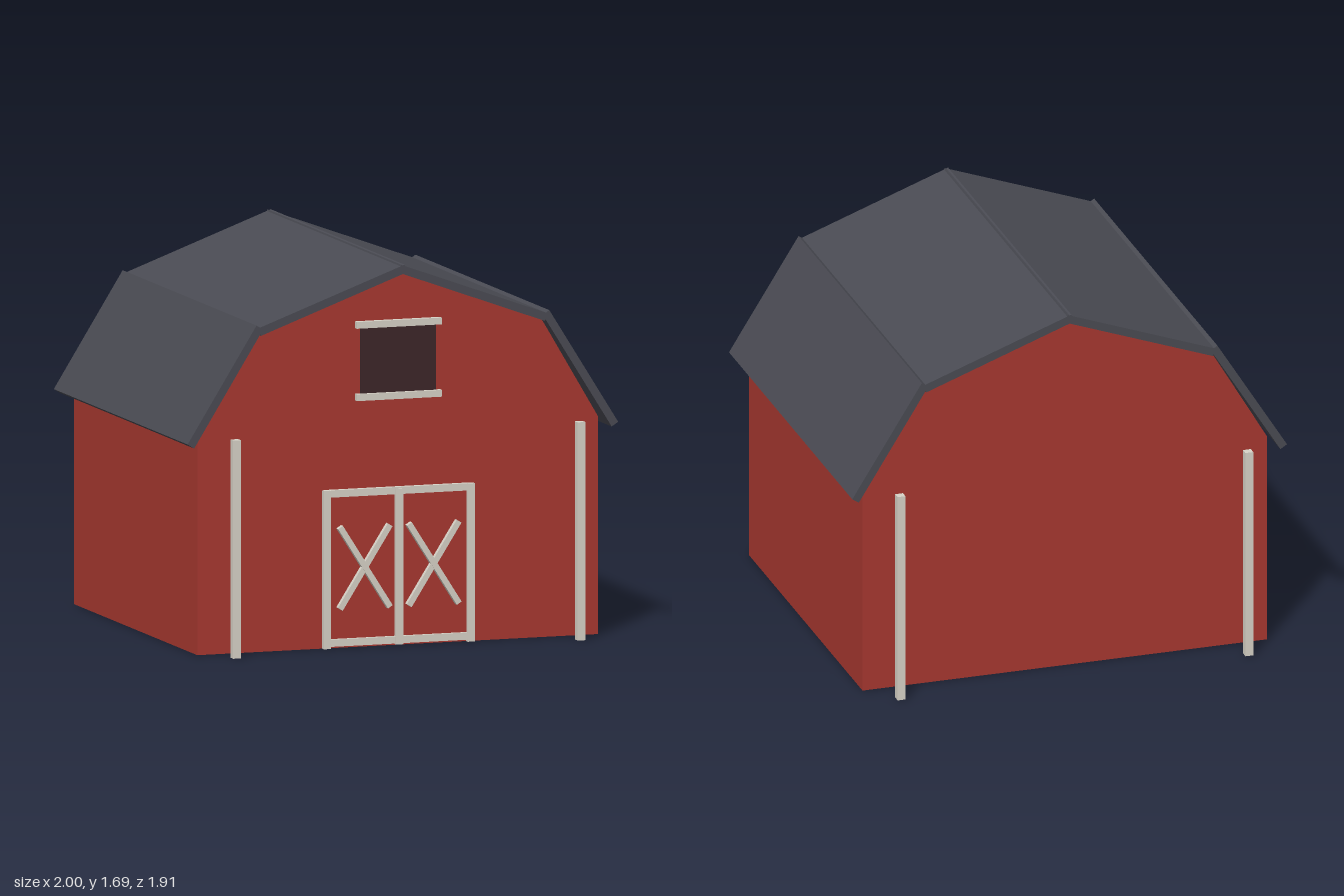
import * as THREE from 'three';

const mat = (name, color) => {
  const m = new THREE.MeshStandardMaterial({ color });
  m.name = name;
  return m;
};

export function createModel() {
  const red = mat('barn red', 0xa83830);
  const slate = mat('roof slate', 0x4a4b53);
  const cream = mat('trim cream', 0xd8d3c8);
  const dark = mat('loft dark', 0x3c2629);

  const barn = new THREE.Group();
  barn.name = 'barn';

  const box = (parent, name, material, size, pos, rotZ = 0) => {
    const mesh = new THREE.Mesh(new THREE.BoxGeometry(...size), material);
    mesh.name = name;
    mesh.position.set(...pos);
    mesh.rotation.z = rotZ;
    parent.add(mesh);
    return mesh;
  };
  const group = (name) => {
    const g = new THREE.Group();
    g.name = name;
    barn.add(g);
    return g;
  };

  // Walls: gambrel outline extruded front to back
  const outline = [[-0.93, 0], [0.93, 0], [0.93, 0.965], [0.667, 1.41],
    [0, 1.66], [-0.667, 1.41], [-0.93, 0.965]];
  const shape = new THREE.Shape(outline.map(([x, y]) => new THREE.Vector2(x, y)));
  const wallGeo = new THREE.ExtrudeGeometry(shape, { depth: 1.6, bevelEnabled: false });
  wallGeo.translate(0, 0, -0.8);
  const walls = new THREE.Mesh(wallGeo, red);
  walls.name = 'walls';
  barn.add(walls);

  // Roof: a slab laid under each outer line, mirrored left and right
  const roof = group('roof');
  const thick = 0.036;
  const slab = (name, side, [x0, y0], [x1, y1]) => {
    const dx = x1 - x0, dy = y1 - y0, len = Math.hypot(dx, dy);
    const cx = (x0 + x1) / 2 - (dy / len) * thick / 2;
    const cy = (y0 + y1) / 2 + (dx / len) * thick / 2;
    box(roof, name, slate, [len, thick, 1.74], [side * cx, cy, 0], side * Math.atan2(dy, dx));
  };
  for (const side of [-1, 1]) {
    slab('lowerRoofPanel', side, [1.0, 0.945], [0.68, 1.455]);
    slab('upperRoofPanel', side, [0.672, 1.442], [-0.008, 1.69]);
  }

  // Free-standing corner posts
  const posts = group('cornerPosts');
  for (const x of [-0.8, 0.8]) {
    for (const z of [-0.935, 0.935]) {
      box(posts, 'cornerPost', cream, [0.036, 0.965, 0.036], [x, 0.4825, z]);
    }
  }

  // Double door: panels, frame and cross braces
  const door = group('doubleDoor');
  for (const side of [-1, 1]) {
    box(door, 'doorPanel', red, [0.315, 0.68, 0.008], [side * 0.16, 0.345, 0.802]);
    box(door, 'doorJamb', cream, [0.034, 0.7, 0.03], [side * 0.334, 0.35, 0.81]);
    for (const lean of [-1, 1]) {
      box(door, 'crossBrace', cream, [0.026, 0.43, 0.028],
        [side * 0.16, 0.355, 0.816 + lean * 0.001], lean * Math.atan2(0.115, 0.18));
    }
  }
  box(door, 'doorCentrePost', cream, [0.034, 0.69, 0.032], [0, 0.35, 0.812]);
  for (const y of [0.025, 0.685]) {
    box(door, 'doorRail', cream, [0.64, 0.032, 0.026], [0, y, 0.81]);
  }

  // Hayloft opening with trim above and below
  const loft = group('hayloft');
  box(loft, 'loftOpening', dark, [0.35, 0.31, 0.009], [0, 1.265, 0.803]);
  for (const y of [1.105, 1.425]) {
    box(loft, 'loftTrim', cream, [0.395, 0.03, 0.03], [0, y, 0.81]);
  }

  return barn;
}
